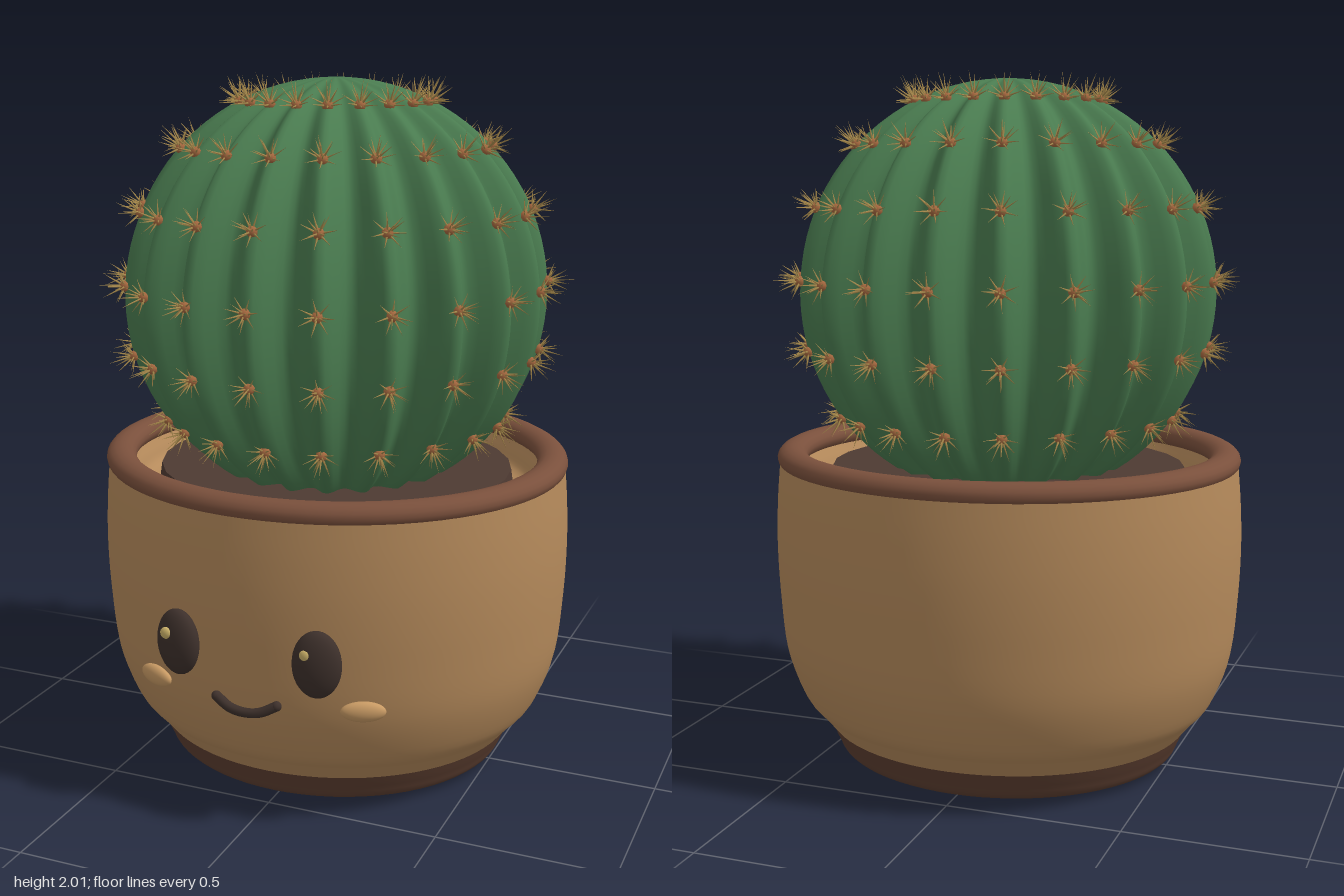
import * as THREE from 'three';
import { mergeGeometries } from 'three/addons/utils/BufferGeometryUtils.js';

const mat = (name, color, side = THREE.FrontSide) => {
  const m = new THREE.MeshStandardMaterial({ color, side });
  m.name = name;
  return m;
};

const OVAL = 0.925;                       // pot depth relative to its width
const RIBS = 20, RADIUS = 0.61, CENTRE = 1.39;

function add(parent, name, geometry, material, position = [0, 0, 0], scale = [1, 1, 1]) {
  const mesh = new THREE.Mesh(geometry, material);
  mesh.name = name;
  mesh.position.set(...position);
  mesh.scale.set(...scale);
  parent.add(mesh);
  return mesh;
}

// Smooth lathe through [radius, height] points
function lathe(points) {
  const curve = new THREE.SplineCurve(points.map(p => new THREE.Vector2(...p)));
  return new THREE.LatheGeometry(curve.getPoints(points.length * 4), 72);
}

// Sphere pushed in between the ribs
function ribbedBody() {
  const g = new THREE.SphereGeometry(RADIUS, RIBS * 10, 48);
  const p = g.attributes.position;
  for (let i = 0; i < p.count; i++) {
    const x = p.getX(i), z = p.getZ(i);
    const crest = Math.pow(0.5 + 0.5 * Math.cos(RIBS * Math.atan2(z, x)), 1.2);
    const k = 0.86 + 0.14 * crest;
    p.setX(i, x * k);
    p.setZ(i, z * k);
  }
  g.computeVertexNormals();
  return g;
}

// One tuft of thin spines pointing along +y
function tuft() {
  const spines = [];
  const spine = (length, tilt, turn) => {
    const g = new THREE.ConeGeometry(0.004, length, 4, 1, true);
    g.translate(0, length / 2, 0).rotateZ(tilt).rotateY(turn);
    spines.push(g);
  };
  spine(0.078, 0, 0);
  for (let i = 0; i < 4; i++) spine(0.07, 0.5, (i + 0.5) * Math.PI / 2);
  for (let i = 0; i < 7; i++) spine(0.058, 1.15, i * Math.PI * 2 / 7);
  return mergeGeometries(spines);
}

export function createModel() {
  const green = mat('cactus green', 0x4a7c50);
  const clay = mat('tan clay', 0xb58a5b);
  const rimBrown = mat('rim brown', 0x7a503c);
  const baseBrown = mat('base brown', 0x5c3e30);
  const soilBrown = mat('soil brown', 0x4e3a32);
  const dark = mat('face dark', 0x3d302b);
  const blush = mat('cheek tan', 0xc89a64);
  const gold = mat('eye glint', 0xcdb36a);
  const spineMat = mat('spine straw', 0xa88a4c, THREE.DoubleSide);
  const areoleMat = mat('areole brown', 0xa5683f);

  const model = new THREE.Group();
  model.name = 'pottedCactus';

  // Oval pot
  const pot = new THREE.Group();
  pot.name = 'pot';
  pot.scale.z = OVAL;
  model.add(pot);
  add(pot, 'potWall', lathe([
    [0.543, 0.1], [0.58, 0.145], [0.625, 0.2], [0.672, 0.33], [0.69, 0.5],
    [0.696, 0.65], [0.692, 0.78], [0.682, 0.9],
  ]), clay);
  add(pot, 'potInside', lathe([
    [0.63, 0.91], [0.605, 0.86], [0.57, 0.81], [0.45, 0.79],
  ]), clay);
  add(pot, 'potBase', lathe([
    [0.14, 0.1], [0.145, 0.06], [0.19, 0.025], [0.3, 0.004], [0.42, 0.001],
    [0.5, 0.02], [0.525, 0.06], [0.543, 0.1],
  ]), baseBrown);
  const floor = add(pot, 'drainFloor', new THREE.CircleGeometry(0.16, 32), clay, [0, 0.095, 0]);
  floor.rotation.x = Math.PI / 2;
  const rim = new THREE.TorusGeometry(0.645, 0.045, 16, 72).rotateX(Math.PI / 2);
  add(pot, 'potRim', rim, rimBrown, [0, 0.907, 0], [1, 0.76, 1]);
  add(pot, 'soil', new THREE.CylinderGeometry(0.525, 0.54, 0.1, 28), soilBrown, [0, 0.83, 0]);

  // Ribbed cactus
  add(model, 'cactusBody', ribbedBody(), green, [0, CENTRE, 0]);

  // Spine tufts in rows along every rib crest
  const tuftGeometry = tuft(), areole = new THREE.SphereGeometry(0.016, 8, 6);
  const tufts = [], areoles = [], up = new THREE.Vector3(0, 1, 0);
  [1.035, 1.23, 1.43, 1.635, 1.81, 1.935].forEach((y, row) => {
    const h = y - CENTRE, r = Math.sqrt(RADIUS * RADIUS - h * h);
    for (let i = 0; i < RIBS; i++) {
      const a = i * Math.PI * 2 / RIBS;
      const at = new THREE.Vector3(r * Math.cos(a), h, r * Math.sin(a));
      const turn = new THREE.Quaternion().setFromUnitVectors(up, at.clone().normalize());
      const spin = new THREE.Quaternion().setFromAxisAngle(up, i * 1.7 + row);
      at.y += CENTRE;
      const place = new THREE.Matrix4().compose(at, turn.multiply(spin), new THREE.Vector3(1, 1, 1));
      tufts.push(tuftGeometry.clone().applyMatrix4(place));
      areoles.push(areole.clone().applyMatrix4(place));
    }
  });
  add(model, 'spines', mergeGeometries(tufts), spineMat);
  add(model, 'areoles', mergeGeometries(areoles), areoleMat);

  // Face
  const face = new THREE.Group();
  face.name = 'face';
  model.add(face);
  const ball = new THREE.SphereGeometry(1, 28, 20);
  for (const [side, s] of [['left', 1], ['right', -1]]) {
    add(face, side + 'Eye', ball, dark, [s * 0.206, 0.51, 0.63], [0.068, 0.095, 0.037])
      .rotation.y = s * 0.2;
    add(face, side + 'EyeGlint', ball, gold, [s * 0.206 - 0.021, 0.543, 0.66], [0.017, 0.017, 0.009]);
    add(face, side + 'Cheek', ball, blush, [s * 0.313, 0.366, 0.565], [0.062, 0.029, 0.02])
      .rotation.y = s * 0.4;
  }
  const smile = new THREE.CatmullRomCurve3([
    [-0.09, 0.372, 0.635], [-0.045, 0.35, 0.645], [0, 0.344, 0.648], [0.045, 0.35, 0.645], [0.09, 0.372, 0.635],
  ].map(p => new THREE.Vector3(...p)));
  add(face, 'mouth', new THREE.TubeGeometry(smile, 24, 0.014, 8), dark);
  for (const s of [-1, 1])
    add(face, 'mouthEnd', ball, dark, [s * 0.09, 0.372, 0.635], [0.014, 0.014, 0.014]);

  return model;
}
